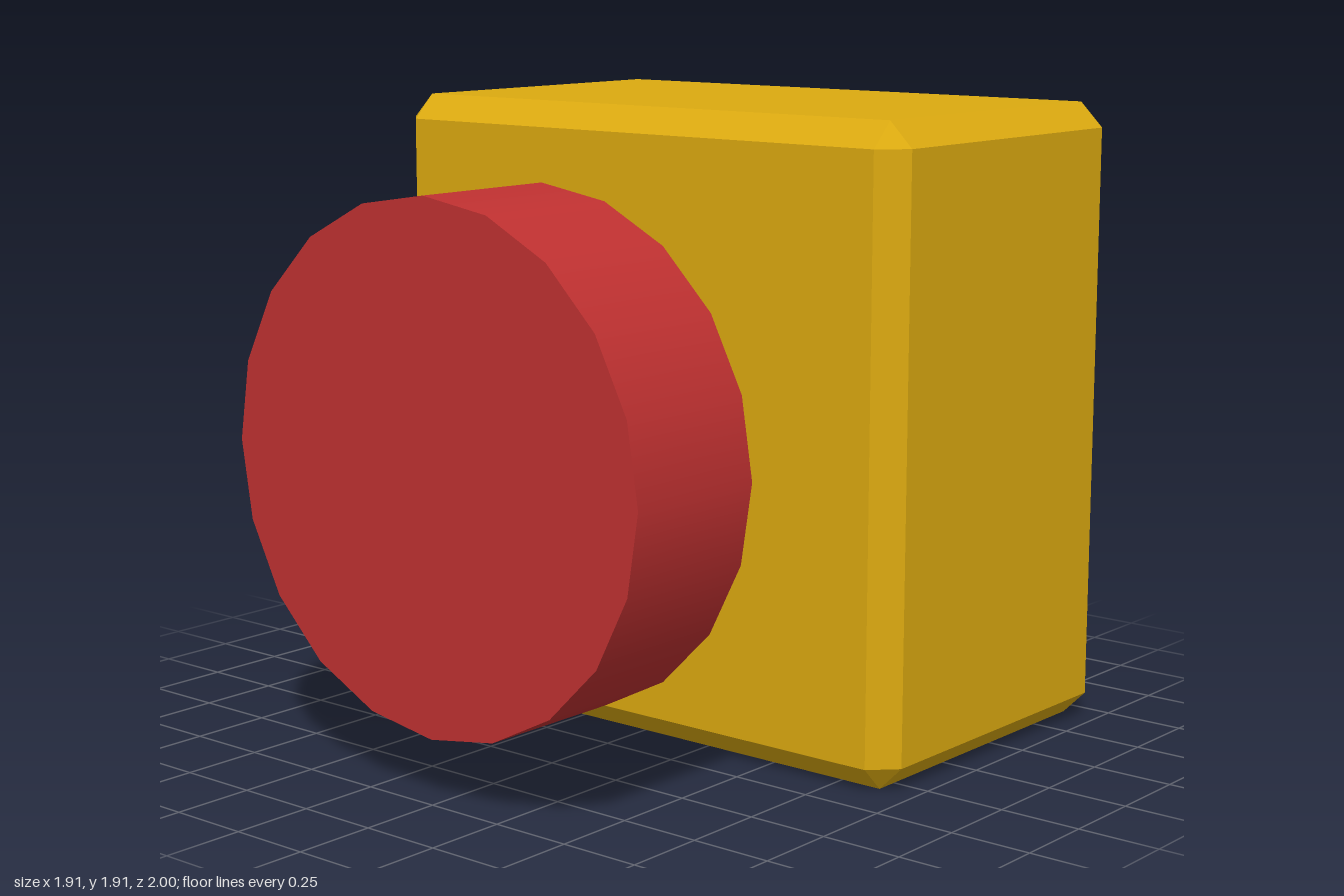
import * as THREE from 'three';
import { ConvexGeometry } from 'three/addons/geometries/ConvexGeometry.js';

const CENTER_Y = 0.957;

// Box with flat chamfers on all edges and triangular corners
function chamferedBox(w, h, d, c) {
  const points = [];
  for (const sx of [-1, 1]) for (const sy of [-1, 1]) for (const sz of [-1, 1]) {
    const x = w / 2, y = h / 2, z = d / 2;
    points.push(
      new THREE.Vector3(sx * x, sy * (y - c), sz * (z - c)),
      new THREE.Vector3(sx * (x - c), sy * y, sz * (z - c)),
      new THREE.Vector3(sx * (x - c), sy * (y - c), sz * z)
    );
  }
  return new ConvexGeometry(points);
}

export function createModel() {
  const material = (name, color) => {
    const m = new THREE.MeshStandardMaterial({ color });
    m.name = name;
    return m;
  };
  const yellow = material('yellow', 0xdcaa10);
  const red = material('red', 0xc03131);
  const darkGrey = material('dark grey', 0x343e3e);

  const group = new THREE.Group();
  const add = (name, geometry, mat, z) => {
    const mesh = new THREE.Mesh(geometry, mat);
    mesh.name = name;
    mesh.position.set(0, CENTER_Y, z);
    group.add(mesh);
  };

  // Housing block at the back
  add('housing', chamferedBox(1.914, 1.914, 1.147, 0.075), yellow, -0.4265);

  // Bulging collar between housing and button, turned to face the front
  const profile = [[0, -0.27], [0.26, -0.27], [0.42, -0.115], [0.42, 0.115], [0.26, 0.27], [0, 0.27]]
    .map(([r, y]) => new THREE.Vector2(r, y));
  add('collar', new THREE.LatheGeometry(profile, 32).rotateX(Math.PI / 2), darkGrey, 0.34);

  // Push button at the front
  add('button', new THREE.CylinderGeometry(0.765, 0.765, 0.475, 20).rotateX(Math.PI / 2), red, 0.7625);

  return group;
}
